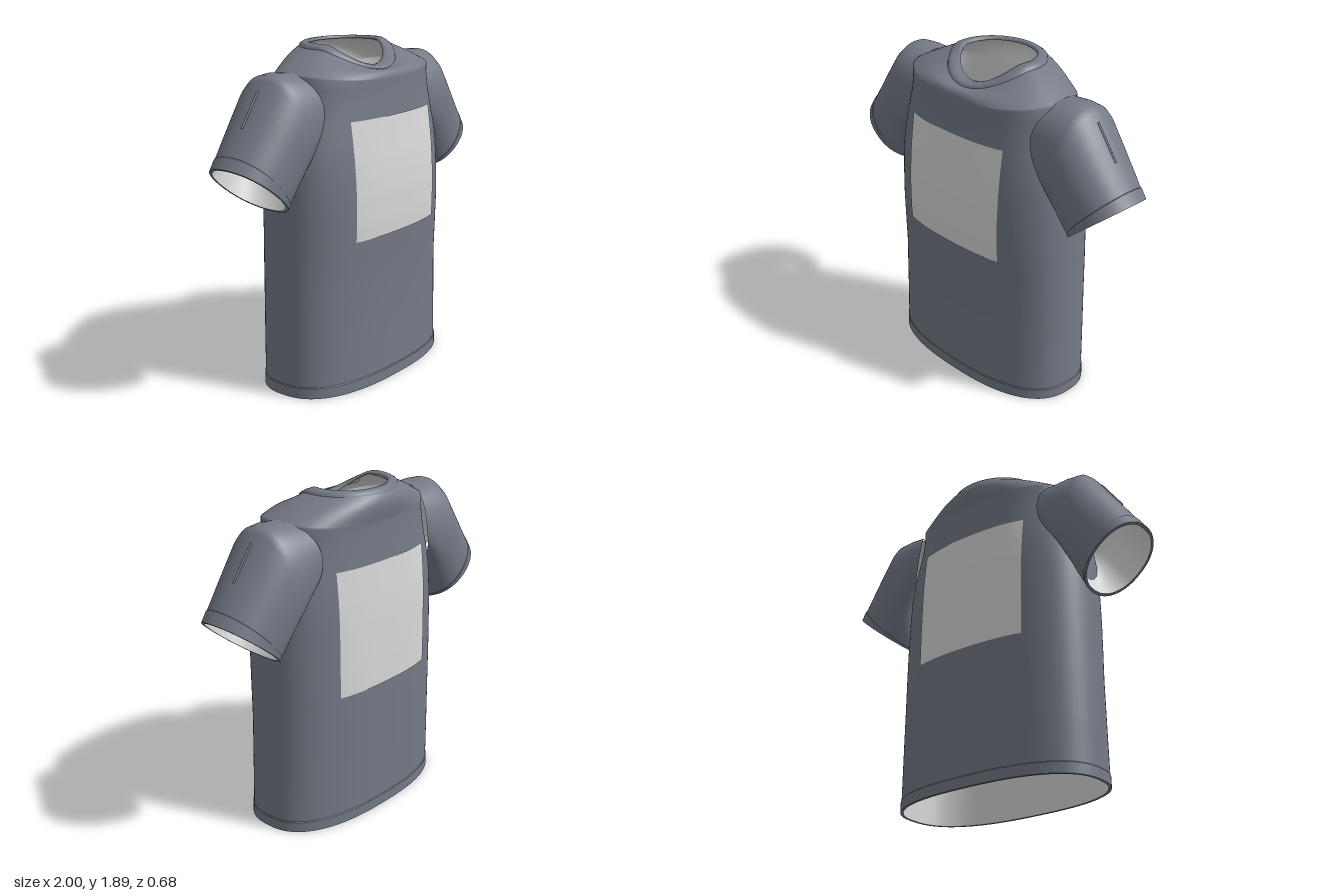
import * as THREE from 'three';

const SEG = 96;
const lerp = THREE.MathUtils.lerp;
const POW = 2.5; // squareness of the torso section

// torso profile: height, half width, front depth, back depth
const TORSO = [
  [0, 0.632, 0.325, 0.325], [0.3, 0.626, 0.32, 0.33], [0.6, 0.62, 0.317, 0.333],
  [0.8, 0.617, 0.328, 0.335], [0.95, 0.614, 0.336, 0.335], [1.1, 0.61, 0.336, 0.333],
  [1.2, 0.606, 0.331, 0.331], [1.3, 0.6, 0.323, 0.327], [1.4, 0.583, 0.313, 0.321],
  [1.5, 0.555, 0.303, 0.315], [1.6, 0.53, 0.294, 0.308], [1.68, 0.52, 0.288, 0.303],
];

// sleeve stations: top x,y, bottom x,y, half depth, how far the sides tuck into the torso
const SLEEVE = [
  [0.5, 1.765, 0.57, 1.32, 0.215, 0.1], [0.6, 1.777, 0.59, 1.2, 0.226, 0.05],
  [0.67, 1.772, 0.61, 1.13, 0.23, 0.01], [0.7, 1.745, 0.615, 1.115, 0.23, 0],
  [0.79, 1.62, 0.625, 1.095, 0.225, 0], [0.9, 1.468, 0.638, 1.07, 0.216, 0],
  [0.995, 1.335, 0.65, 1.05, 0.207, 0],
];

// linear lookup of a row in a table, by fractional index
function rowAt(table, f) {
  const i = Math.min(Math.floor(f), table.length - 2);
  return table[i].map((v, k) => lerp(v, table[i + 1][k], f - i));
}

function torsoAt(y) {
  let i = 0;
  while (i < TORSO.length - 2 && TORSO[i + 1][0] < y) i++;
  return rowAt(TORSO, i + (y - TORSO[i][0]) / (TORSO[i + 1][0] - TORSO[i][0]));
}

const spow = (v, p) => Math.sign(v) * Math.abs(v) ** p;

// closed skin through a list of rings, each a function angle -> [x, y, z]
function loft(rings, flip = false) {
  const pos = [], idx = [];
  rings.forEach((ring) => {
    for (let i = 0; i < SEG; i++) pos.push(...ring((i / SEG) * Math.PI * 2));
  });
  for (let j = 0; j < rings.length - 1; j++) {
    for (let i = 0; i < SEG; i++) {
      const a = j * SEG + i, b = j * SEG + ((i + 1) % SEG), c = a + SEG, d = b + SEG;
      if (flip) idx.push(a, b, c, b, d, c);
      else idx.push(a, c, b, b, c, d);
    }
  }
  const g = new THREE.BufferGeometry();
  g.setAttribute('position', new THREE.Float32BufferAttribute(pos, 3));
  g.setIndex(idx);
  g.computeVertexNormals();
  return g;
}

// horizontal torso section, grown or shrunk by off
const torsoRing = (y, off = 0) => (a) => {
  const [, w, f, b] = torsoAt(y);
  const s = Math.sin(a);
  return [(w + off) * spow(Math.cos(a), 2 / POW), y, ((s > 0 ? f : b) + off) * spow(s, 2 / POW)];
};

// oval around the neck, dipping at the front
const neckRing = (rx, rz, cz, high, low, off = 0) => (a) => {
  const z = cz + (rz + off) * Math.sin(a);
  const dip = Math.max(0, (z + 0.01) / (cz + rz + off + 0.01)) ** 1.5;
  return [(rx + off) * Math.cos(a), lerp(high, low, dip), z];
};

// shoulder sections blending the top of the torso into the neck
const shoulderRing = (t, off = 0) => (a) => {
  const p = torsoRing(1.68, off)(a);
  p[1] = 1.715 + 0.035 * Math.cos(a) ** 2 + off;
  const n = neckRing(0.28, 0.25, -0.04, 1.865 + off, 1.752 + off)(a);
  const bulge = Math.sin(Math.PI * t) * (0.004 + 0.014 * Math.sin(a) ** 2);
  return [lerp(p[0], n[0], t), lerp(p[1], n[1], t) + bulge, lerp(p[2], n[2], t) + bulge * Math.sin(a)];
};

// sleeve section at station f, on side s
const sleeveRing = (s, f, off = 0) => (a) => {
  const [tx, ty, bx, by, hz, tuck] = rowAt(SLEEVE, f);
  const c = spow(Math.cos(a), 0.92), n = spow(Math.sin(a), 0.92);
  const half = Math.hypot(tx - bx, ty - by) / 2;
  const k = (c * (half + off)) / half / 2;
  return [
    s * ((tx + bx) / 2 + (tx - bx) * k - tuck * n * n),
    (ty + by) / 2 + (ty - by) * k,
    -0.037 + (hz + off) * n,
  ];
};

export function createModel() {
  const group = new THREE.Group();
  group.name = 'shirt';
  const material = (name, color) => {
    const m = new THREE.MeshStandardMaterial({ color });
    m.name = name;
    return m;
  };
  const cloth = material('slate cloth', 0x747a86);
  const pale = material('pale grey', 0xdadada);
  const add = (name, geometry, mat) => {
    const mesh = new THREE.Mesh(geometry, mat);
    mesh.name = name;
    group.add(mesh);
    return mesh;
  };

  // torso with shoulders, and its lining
  const steps = [0, 0.06, 0.14, 0.25, 0.4, 0.55, 0.7, 0.85, 1];
  const torso = (off) => [
    ...TORSO.map((r) => torsoRing(r[0], off)),
    ...steps.map((t) => shoulderRing(t, off)),
  ];
  add('torso', loft(torso(0)), cloth);
  add('torsoLining', loft([
    ...torso(-0.012),
    neckRing(0.222, 0.192, -0.05, 1.872, 1.758),
  ], true), pale);

  // hem band; repeated rings keep the edges sharp
  add('hem', loft([
    torsoRing(0, -0.012), torsoRing(0, 0.004), torsoRing(0, 0.004),
    torsoRing(0.06, 0.004), torsoRing(0.06, 0.004), torsoRing(0.066, -0.001),
  ]), cloth);

  // collar band
  add('collar', loft([
    neckRing(0.29, 0.255, -0.04, 1.853, 1.742),
    neckRing(0.284, 0.25, -0.04, 1.874, 1.762),
    neckRing(0.265, 0.233, -0.043, 1.884, 1.768),
    neckRing(0.235, 0.205, -0.048, 1.887, 1.772),
    neckRing(0.22, 0.19, -0.05, 1.882, 1.768),
    neckRing(0.222, 0.192, -0.05, 1.87, 1.756),
  ]), cloth);

  // sleeves
  for (const s of [1, -1]) {
    const side = s > 0 ? 'left' : 'right';
    const last = SLEEVE.length - 1;
    add(side + 'Sleeve', loft(SLEEVE.map((_, i) => sleeveRing(s, i)), s > 0), cloth);
    add(side + 'SleeveLining', loft(SLEEVE.map((_, i) => sleeveRing(s, i, -0.012)), s < 0), pale);
    add(side + 'Cuff', loft([
      sleeveRing(s, last - 0.45, -0.001), sleeveRing(s, last - 0.42, 0.004),
      sleeveRing(s, last - 0.42, 0.004), sleeveRing(s, last, 0.004),
      sleeveRing(s, last, 0.004), sleeveRing(s, last, -0.012),
    ], s > 0), cloth);

    // narrow raised fold on the outside of the sleeve
    const fold = add(side + 'SleeveFold', new THREE.CapsuleGeometry(0.007, 0.21, 4, 10), cloth);
    fold.position.set(s * 0.795, 1.613, -0.04);
    fold.rotation.z = s * Math.atan2(0.11, 0.152);
  }

  // pale panels that follow the chest and the back
  const panel = (name, y0, y1, sign) => {
    const g = new THREE.PlaneGeometry(0.71, y1 - y0, 24, 24);
    if (sign < 0) g.rotateY(Math.PI);
    const p = g.attributes.position;
    for (let i = 0; i < p.count; i++) {
      const x = p.getX(i), y = p.getY(i) + (y0 + y1) / 2;
      const [, w, f, b] = torsoAt(y);
      const depth = (sign > 0 ? f : b) * (1 - (Math.abs(x) / w) ** POW) ** (1 / POW);
      p.setXYZ(i, x, y, sign * (depth + 0.005));
    }
    g.computeVertexNormals();
    add(name, g, pale);
  };
  panel('frontPanel', 0.865, 1.515, 1);
  panel('backPanel', 0.79, 1.5, -1);

  return group;
}
